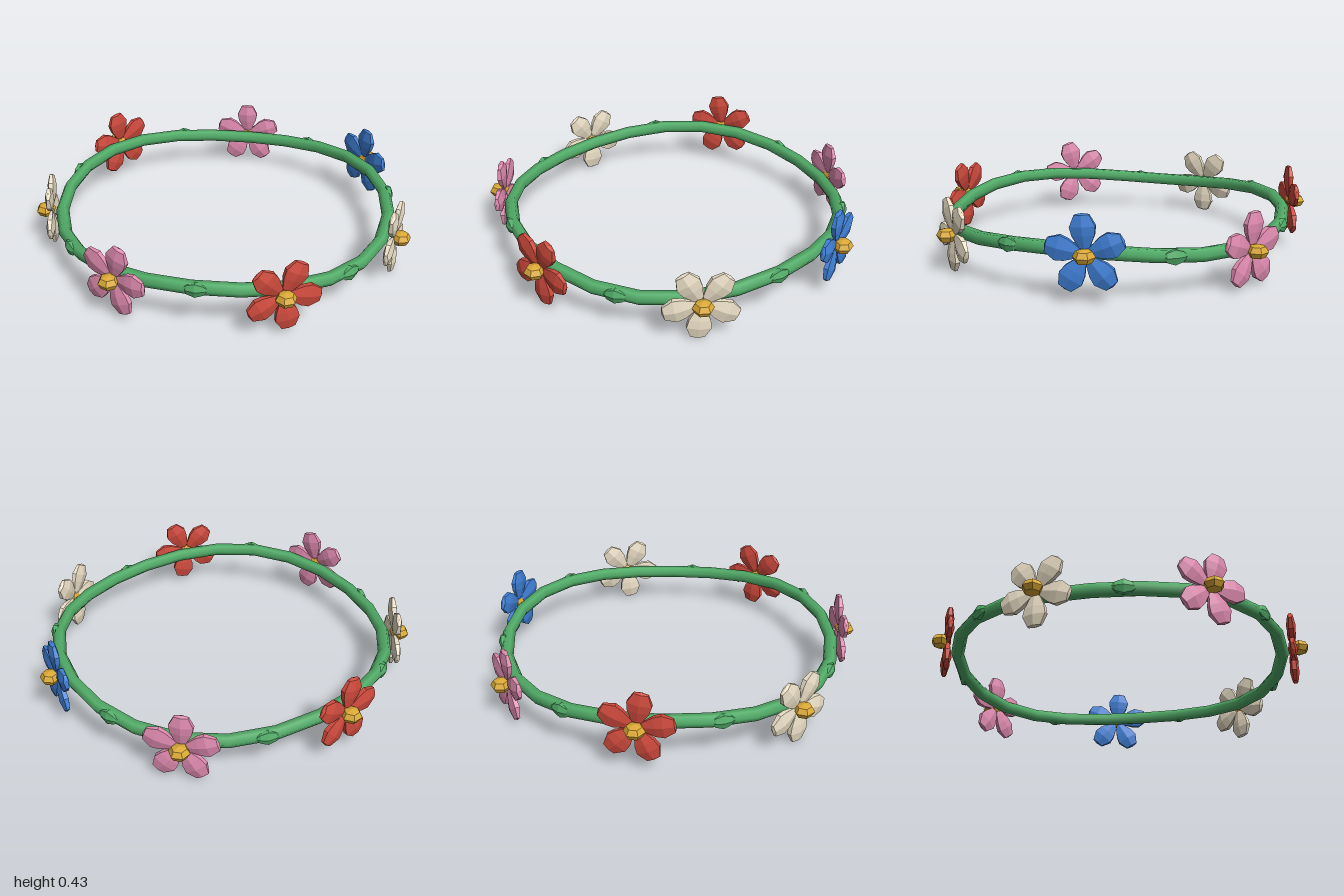
import * as THREE from 'three';

const CX = 0.02, CZ = -0.035, RING = 0.882;
const rad = THREE.MathUtils.degToRad;
const mat = (color, flatShading = true) => new THREE.MeshStandardMaterial({ color, flatShading });

// gently waving height of the wreath
const waveY = (a) => 0.224 - 0.027 * Math.cos(3 * a);
const onRing = (a, r) => new THREE.Vector3(CX + r * Math.cos(a), waveY(a), CZ + r * Math.sin(a));

class WreathCurve extends THREE.Curve {
  getPoint(t, target = new THREE.Vector3()) {
    return target.copy(onRing(-Math.PI / 2 + t * Math.PI * 2, RING));
  }
}

// six-sided lathe along +y from [radius, height] pairs
const lathe = (pts) => new THREE.LatheGeometry(pts.map(([r, y]) => new THREE.Vector2(r, y)), 6);

export function createModel() {
  const model = new THREE.Group();
  model.name = 'flowerWreath';

  const green = mat(0x52ad69, false);
  const leafMat = mat(0x52ad69);
  const gold = mat(0xdba936);
  const pink = mat(0xe08bb0), red = mat(0xcf4a3d), cream = mat(0xe8dcc4), blue = mat(0x3f7fd6);

  // stem ring
  const stem = new THREE.Mesh(new THREE.TubeGeometry(new WreathCurve(), 24, 0.035, 6, true), green);
  stem.name = 'stemRing';
  model.add(stem);

  // flattened petal, blunt at the tip
  const petalGeo = lathe([[0, 0.01], [0.03, 0.035], [0.06, 0.09], [0.069, 0.132], [0.04, 0.185], [0, 0.193]]);
  petalGeo.scale(1, 1, 0.36);

  const heartGeo = new THREE.SphereGeometry(0.054, 6, 4);
  heartGeo.scale(1, 0.7, 1);

  // leaf lying along the stem
  const leafGeo = lathe([[0, -0.066], [0.028, -0.04], [0.043, 0], [0.028, 0.04], [0, 0.066]]);
  leafGeo.rotateZ(Math.PI / 2);
  leafGeo.scale(1, 0.98, 0.6);

  // [petal material, spin in degrees], going round the ring
  const flowers = [[pink, 3], [red, -9], [cream, -24], [blue, 23], [pink, 16], [red, 9], [cream, -18]];
  const step = (Math.PI * 2) / flowers.length;

  flowers.forEach(([petalMat, spin], i) => {
    const a = rad(84.4) - i * step;

    // flower facing outwards
    const flower = new THREE.Group();
    flower.name = 'flower' + (i + 1);
    flower.position.copy(onRing(a, 0.938));
    flower.rotation.y = Math.PI / 2 - a;
    for (let p = 0; p < 5; p++) {
      const petal = new THREE.Mesh(petalGeo, petalMat);
      petal.name = 'petal' + (p + 1);
      petal.rotation.z = rad(spin + p * 72 - 90);
      flower.add(petal);
    }
    const heart = new THREE.Mesh(heartGeo, gold);
    heart.name = 'flowerCentre';
    heart.position.z = 0.033;
    flower.add(heart);
    model.add(flower);

    // leaf halfway to the next flower
    const b = a - step / 2;
    const leaf = new THREE.Mesh(leafGeo, leafMat);
    leaf.name = 'leaf' + (i + 1);
    leaf.position.copy(onRing(b, 0.9));
    leaf.rotation.y = Math.PI / 2 - b;
    model.add(leaf);
  });

  return model;
}
